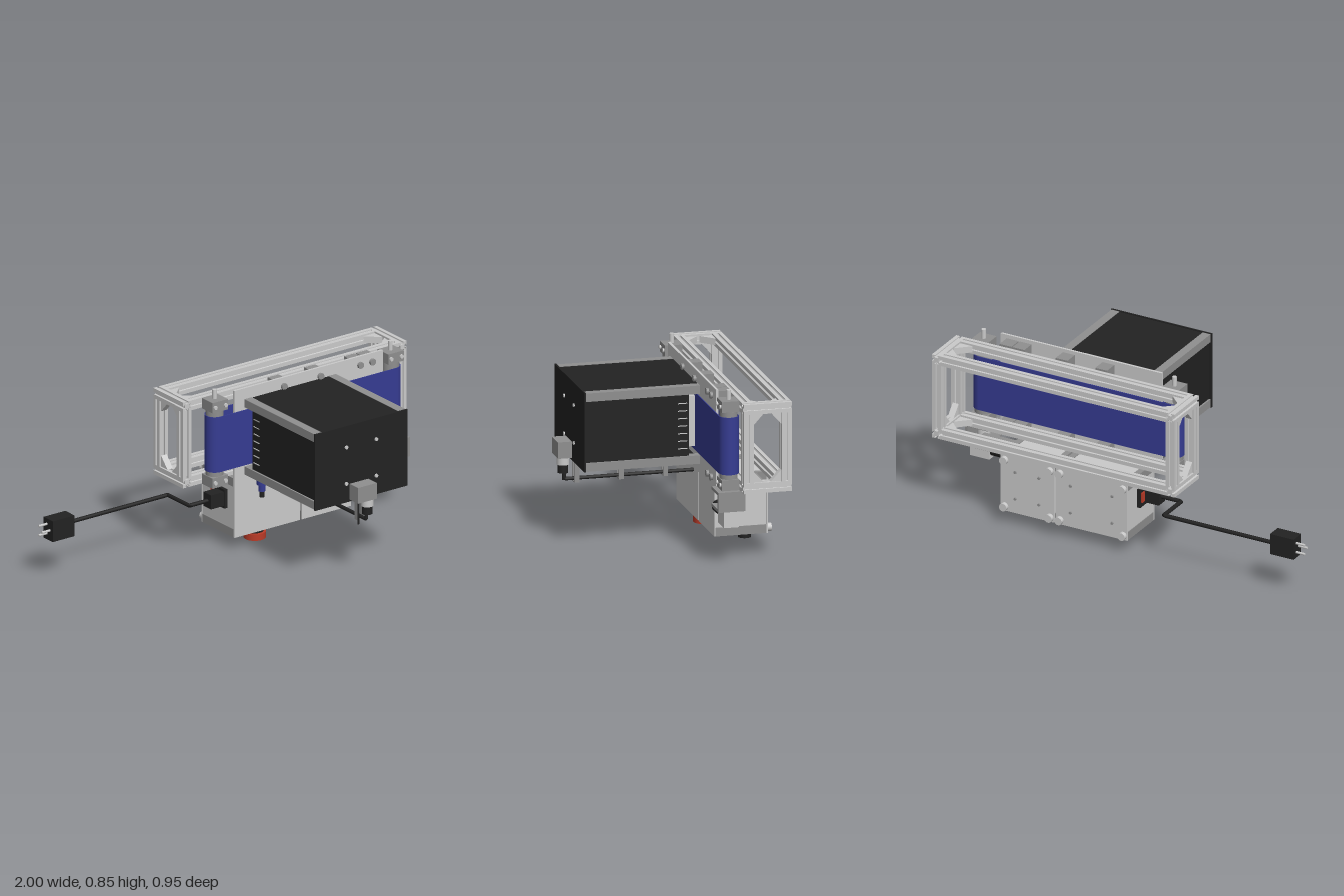
import * as THREE from 'three';

const mat = (name, color, side = THREE.FrontSide) => {
  const m = new THREE.MeshStandardMaterial({ color, side });
  m.name = name;
  return m;
};

export function createModel() {
  const root = new THREE.Group();
  root.name = 'conveyorScanner';
  const light = mat('lightMetal', 0xcacaca), grey = mat('greyMetal', 0x8f8f8f);
  const black = mat('black', 0x222222), blue = mat('beltBlue', 0x363c92);
  const red = mat('red', 0xbb3b28), green = mat('green', 0x2f8a45), yellow = mat('yellow', 0xc9a227);

  const add = (name, geo, m) => {
    const mesh = new THREE.Mesh(geo, m);
    mesh.name = name;
    root.add(mesh);
    return mesh;
  };
  // Box given by its limits on each axis
  const box = (name, m, x0, x1, y0, y1, z0, z1) =>
    add(name, new THREE.BoxGeometry(x1 - x0, y1 - y0, z1 - z0)
      .translate((x0 + x1) / 2, (y0 + y1) / 2, (z0 + z1) / 2), m);
  const turn = (geo, axis) => axis === 'x' ? geo.rotateY(Math.PI / 2) : axis === 'y' ? geo.rotateX(Math.PI / 2) : geo;
  // Cylinder centred at (x, y, z) along the given axis
  const cyl = (name, m, axis, r, len, x, y, z, sides = 20) =>
    add(name, turn(new THREE.CylinderGeometry(r, r, len, sides).rotateX(Math.PI / 2), axis).translate(x, y, z), m);
  const prism = (name, m, shape, axis, len, x, y, z) =>
    add(name, turn(new THREE.ExtrudeGeometry(shape, { depth: len, bevelEnabled: false, curveSegments: 16 })
      .translate(0, 0, -len / 2), axis).translate(x, y, z), m);
  // Cable through points with sharp bends
  const cable = (name, r, pts) => {
    const path = new THREE.CurvePath();
    const v = pts.map(p => new THREE.Vector3(...p));
    for (let i = 1; i < v.length; i++) path.add(new THREE.LineCurve3(v[i - 1], v[i]));
    add(name, new THREE.TubeGeometry(path, 80, r, 10), black);
  };

  // Slotted extrusion profile: square with a T-slot in each side
  const slotted = new THREE.Shape();
  const quarter = [[-0.025, -0.025], [-0.006, -0.025], [-0.006, -0.02], [-0.012, -0.02],
    [-0.007, -0.012], [0.007, -0.012], [0.012, -0.02], [0.006, -0.02], [0.006, -0.025]];
  const outline = [];
  for (let k = 0; k < 4; k++) for (const [x, y] of quarter) {
    const a = k * Math.PI / 2, c = Math.cos(a), s = Math.sin(a);
    outline.push(new THREE.Vector2(x * c - y * s, x * s + y * c));
  }
  slotted.setFromPoints(outline);

  // Frame: bars along all three axes, with corner gussets
  const gusset = (axis, a, b, su, sv, w, x, y, z) => {
    const t = new THREE.Shape([[0, 0], [su * a, 0], [0, sv * b]].map(p => new THREE.Vector2(...p)));
    prism('frameGusset', light, t, axis, w, x, y, z);
  };
  for (const z of [-0.265, -0.45]) {
    for (const y of [0.39, 0.775]) prism('frameRail', light, slotted, 'x', 1.21, 0.345, y, z);
    for (const x of [-0.285, 0.975]) prism('framePost', light, slotted, 'y', 0.335, x, 0.5825, z);
  }
  for (const [x, sx] of [[-0.285, 1], [0.975, -1]]) for (const [y, sy] of [[0.39, 1], [0.775, -1]]) {
    prism('frameCrossBar', light, slotted, 'z', 0.235, x, y, -0.3575);
    for (const [z, sz] of [[-0.425, 1], [-0.29, -1]]) {
      gusset('x', 0.05, 0.055, -sz, sy, 0.032, x, y + sy * 0.025, z);
      gusset('y', 0.065, 0.062, sx, sz, 0.032, x + sx * 0.025, y, z);
    }
  }

  // Conveyor belt loop around two rollers
  const stadium = (Kind, r) => {
    const s = new Kind();
    s.absarc(0.875, 0, r, -Math.PI / 2, Math.PI / 2, false);
    s.absarc(-0.155, 0, r, Math.PI / 2, Math.PI * 1.5, false);
    s.closePath();
    return s;
  };
  const loop = stadium(THREE.Shape, 0.048);
  loop.holes.push(stadium(THREE.Path, 0.044));
  prism('belt', blue, loop, 'y', 0.28, 0.36, 0.58, -0.2).position.x = -0.36;
  for (const x of [-0.155, 0.875]) {
    cyl('roller', grey, 'y', 0.0425, 0.33, x, 0.58, -0.2, 28);
    cyl('rollerShaft', light, 'y', 0.011, 0.485, x, 0.6025, -0.2);
    for (const y of [0.39, 0.7725]) {
      box('bearingBlock', grey, x - 0.045, x + 0.045, y - 0.026, y + 0.026, -0.24, -0.155);
      for (const s of [-1, 1]) cyl('bearingBolt', light, 'z', 0.01, 0.01, x + s * 0.03, y, -0.152, 12);
    }
  }

  // Bed plate held to the frame by small brackets
  box('bedPlate', light, -0.07, 0.8, 0.34, 0.828, -0.17, -0.158);
  for (const x of [0.218, 0.432, 0.665, 0.735]) for (const y of [0.385, 0.785]) {
    box('bedBracket', grey, x - 0.032, x + 0.032, y - 0.025, y + 0.025, -0.24, -0.17);
    cyl('bedBolt', grey, 'z', 0.016, 0.014, x, y, -0.152, 12);
  }

  // Imaging hood
  box('hoodFrontPlate', black, -0.017, 0.525, 0.39, 0.777, 0.4, 0.408);
  for (const x of [-0.012, 0.48]) for (const y of [0.392, 0.733])
    box('hoodRail', grey, x, x + 0.042, y, y + 0.041, -0.156, 0.4);
  for (const y of [0.4, 0.762]) box('hoodPanel', black, 0.03, 0.48, y, y + 0.01, -0.156, 0.4);
  for (const [x, s] of [[0.003, -1], [0.507, 1]]) {
    box('hoodSide', black, x - 0.006, x + 0.006, 0.433, 0.733, -0.105, 0.4);
    for (let i = 0; i < 7; i++) {
      const y = 0.47 + i * 0.0367;
      box('ventSlit', light, x + s * 0.007 - 0.002, x + s * 0.007 + 0.002, y - 0.002, y + 0.002, -0.095, -0.05);
    }
  }
  box('lightDiffuser', light, 0.06, 0.45, 0.46, 0.705, -0.15, -0.06);
  for (const x of [0.165, 0.34]) for (const y of [0.485, 0.67]) cyl('hoodBolt', light, 'z', 0.009, 0.008, x, y, 0.41, 12);

  // Hood cable gland, cable and its hangers
  box('junctionBlock', grey, 0.185, 0.295, 0.4, 0.48, 0.408, 0.475);
  cyl('glandCollar', light, 'y', 0.03, 0.035, 0.262, 0.382, 0.443);
  cyl('glandNut', black, 'y', 0.025, 0.043, 0.262, 0.345, 0.443);
  cable('hoodCable', 0.009, [[0.262, 0.33, 0.437], [0.262, 0.292, 0.437], [0.262, 0.292, -0.2]]);
  cable('hoodLead', 0.005, [[0.22, 0.4, 0.43], [0.22, 0.275, 0.43]]);
  for (const z of [0.38, 0.163, -0.053]) {
    for (const x of [0.243, 0.276]) box('cableHanger', grey, x, x + 0.006, 0.275, 0.4, z - 0.012, z + 0.012);
    box('cableHangerBase', grey, 0.243, 0.282, 0.275, 0.281, z - 0.012, z + 0.012);
  }

  // Position sensor
  cyl('sensorBody', blue, 'y', 0.021, 0.072, 0.065, 0.417, -0.125);
  cyl('sensorNut', blue, 'y', 0.025, 0.045, 0.065, 0.358, -0.122);
  cyl('sensorNeck', blue, 'y', 0.017, 0.035, 0.065, 0.32, -0.122);
  cyl('sensorLead', black, 'y', 0.011, 0.033, 0.065, 0.288, -0.122);

  // Two control boxes with grey corner rails and rear standoffs
  for (const [x0, x1] of [[-0.043, 0.342], [0.352, 0.64]]) {
    box('controlBox', light, x0 + 0.003, x1 - 0.003, 0.067, 0.36, -0.447, -0.2);
    box('controlBoxFront', light, x0, x1, 0.065, 0.362, -0.2, -0.194);
    box('controlBoxBack', light, x0, x1, 0.065, 0.362, -0.455, -0.447);
    for (const x of [x0, x1 - 0.03]) for (const y of [0.065, 0.322])
      box('controlBoxRail', grey, x, x + 0.03, y, y + 0.042, -0.447, -0.2);
    for (const x of [x0 + 0.022, x1 - 0.022]) for (const y of [0.088, 0.332])
      cyl('standoff', light, 'z', 0.02, 0.02, x, y, -0.465, 16);
    for (const x of [x0 + 0.08, x1 - 0.08]) for (const y of [0.14, 0.28])
      cyl('rearBolt', grey, 'z', 0.007, 0.008, x, y, -0.458, 10);
  }

  // Controls on the underside
  cyl('stopRing', yellow, 'y', 0.075, 0.006, 0.14, 0.064, -0.28, 32);
  cyl('stopNeck', black, 'y', 0.041, 0.03, 0.14, 0.048, -0.28, 24);
  cyl('stopButton', red, 'y', 0.053, 0.032, 0.14, 0.016, -0.28, 28);
  cyl('startButton', green, 'y', 0.035, 0.012, 0.265, 0.06, -0.28, 24);
  for (const x of [0.497, 0.567]) {
    cyl('knobStem', black, 'y', 0.018, 0.02, x, 0.06, -0.36);
    cyl('knob', black, 'y', 0.031, 0.02, x, 0.044, -0.36, 24);
  }

  // Power inlet, mains cable and plug
  box('powerInlet', black, -0.06, -0.043, 0.2, 0.295, -0.36, -0.25);
  box('powerSwitch', red, -0.067, -0.06, 0.225, 0.275, -0.35, -0.325);
  box('powerConnector', black, -0.135, -0.06, 0.212, 0.283, -0.315, -0.255);
  cable('mainsCable', 0.01, [[-0.13, 0.247, -0.285], [-0.24, 0.247, -0.285], [-0.24, 0.247, -0.455], [-0.85, 0.247, -0.455]]);
  box('plug', black, -0.952, -0.825, 0.195, 0.3, -0.475, -0.402);
  for (const y of [0.225, 0.247, 0.272]) cyl('plugPin', light, 'x', 0.006, 0.05, -0.975, y, y === 0.247 ? -0.425 : -0.45, 10);

  // Drive motor under the right-hand roller
  box('motorBracketTop', grey, 0.815, 0.94, 0.348, 0.362, -0.265, -0.132);
  box('motorBracketBase', grey, 0.815, 0.94, 0.265, 0.279, -0.265, -0.132);
  box('motorBracketSide', grey, 0.926, 0.94, 0.279, 0.348, -0.265, -0.132);
  cyl('motorCoupling', light, 'y', 0.032, 0.07, 0.875, 0.313, -0.2);
  box('motor', light, 0.825, 0.93, 0.186, 0.265, -0.235, -0.162);
  box('motorArm', grey, 0.64, 0.815, 0.322, 0.36, -0.4, -0.3);
  for (const [x, r, w] of [[0.8, 0.03, 0.05], [0.745, 0.027, 0.05], [0.7, 0.031, 0.035]])
    cyl('motorConnector', black, 'x', r, w, x, 0.227, -0.2, 16);
  cyl('motorConnectorCore', black, 'x', 0.022, 0.14, 0.75, 0.227, -0.2, 16);
  cyl('motorSocket', black, 'x', 0.025, 0.035, 0.655, 0.28, -0.27, 16);
  cable('motorLead', 0.01, [[0.7, 0.227, -0.2], [0.672, 0.235, -0.21], [0.665, 0.28, -0.27]]);

  return root;
}
